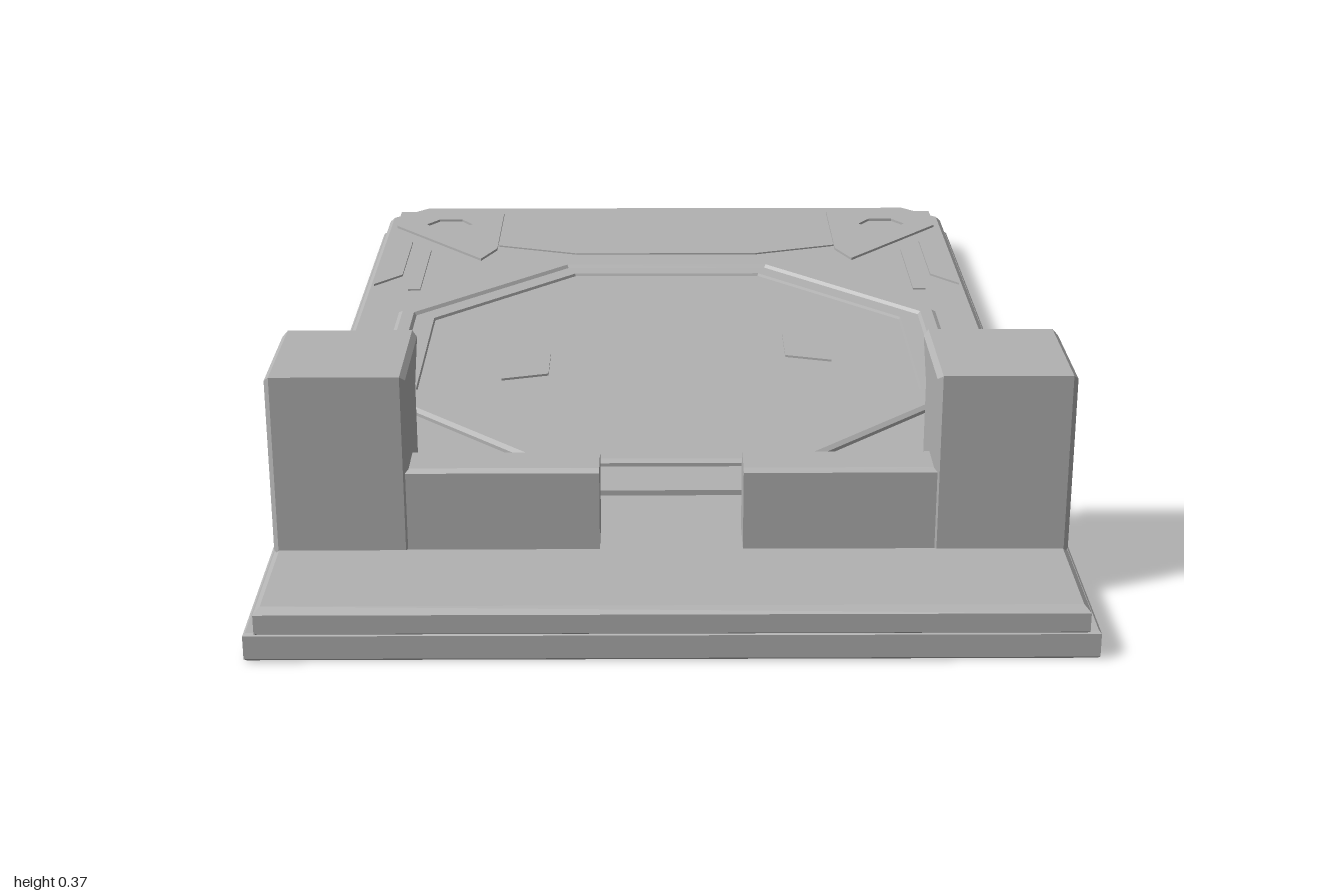
import * as THREE from 'three';

const grey = new THREE.MeshStandardMaterial({ color: 0xb2b2b2, flatShading: true });
grey.name = 'plain grey';

const DECK = 0.085; // height of the deck surface

const makeShape = (pts) => new THREE.Shape(pts.map(([a, b]) => new THREE.Vector2(a, b)));
const mirrorPts = (pts, side) => pts.map(([x, z]) => [x * side, z]);

function add(parent, name, geometry) {
  const mesh = new THREE.Mesh(geometry, grey);
  mesh.name = name;
  parent.add(mesh);
  return mesh;
}

function extrude(shape, depth, bevel) {
  const geo = new THREE.ExtrudeGeometry(shape, {
    depth: depth - 2 * bevel, bevelEnabled: bevel > 0, bevelSegments: 1,
    bevelSize: bevel, bevelThickness: bevel, bevelOffset: -bevel, steps: 1,
  });
  return geo.translate(0, 0, bevel);
}

// Flat plate from an (x, z) outline, between heights y0 and y1
function plate(parent, name, pts, y0, y1, bevel = 0, holes = []) {
  const shape = makeShape(pts);
  for (const h of holes) shape.holes.push(new THREE.Path(h.map(([a, b]) => new THREE.Vector2(a, b))));
  const geo = extrude(shape, y1 - y0, bevel).rotateX(Math.PI / 2).translate(0, y1, 0);
  return add(parent, name, geo);
}

// Block from a (z, y) side profile, running from x0 to x1
function sideBlock(parent, name, pts, x0, x1, bevel) {
  const geo = extrude(makeShape(pts), x1 - x0, bevel).rotateY(-Math.PI / 2).translate(x1, 0, 0);
  return add(parent, name, geo);
}

// Rectangular deck outline with chamfered back corners
const deckOutline = (w, back, cut) => [
  [-w, 1], [w, 1], [w, back + cut], [w - cut, back], [-w + cut, back], [-w, back + cut],
];

export function createModel() {
  const root = new THREE.Group();
  root.name = 'displayBase';

  // Two-step base
  plate(root, 'lowerBase', deckOutline(0.63, -1, 0.08), 0, 0.045, 0.004);
  plate(root, 'upperBase', deckOutline(0.613, -0.983, 0.075), 0.035, DECK, 0.01);

  // Raised octagonal rim on the deck
  const k = 1 / Math.cos(Math.PI / 8);
  const rim = [[0.528, 0.08], [0.528, 0.091], [0.52, 0.096], [0.497, 0.096], [0.492, 0.09],
    [0.456, 0.09], [0.452, 0.08]].map(([r, y]) => new THREE.Vector2(r * k, y));
  const ring = add(root, 'octagonRim', new THREE.LatheGeometry(rim, 8, Math.PI / 8));
  ring.position.z = -0.045;

  // Raised frame between the front walls
  plate(root, 'frontFrame', [
    [-0.28, 0.74], [-0.22, 0.57], [0.22, 0.57], [0.28, 0.74], [0.11, 0.74], [0.11, 0.71],
    [0.22, 0.71], [0.17, 0.6], [-0.17, 0.6], [-0.22, 0.71], [-0.11, 0.71], [-0.11, 0.74],
  ], 0.08, 0.094);

  // Stepped ridge across the back of the deck
  plate(root, 'backRidge', [
    [-0.37, -0.7], [-0.19, -0.64], [0.19, -0.64], [0.37, -0.7],
    [0.37, -0.712], [0.19, -0.652], [-0.19, -0.652], [-0.37, -0.712],
  ], 0.08, 0.088);

  // Small wedge panels inside the octagon
  for (const side of [-1, 1]) {
    const dz = side < 0 ? 0 : -0.093;
    const wedge = [[0.305, -0.085], [0.22, -0.05], [0.22, 0.065], [0.305, 0.09]];
    plate(root, 'wedgePanel', mirrorPts(wedge, side).map(([x, z]) => [x, z + dz]), 0.08, 0.089);
  }

  for (const side of [-1, 1]) {
    const half = new THREE.Group();
    half.name = side > 0 ? 'leftSide' : 'rightSide';
    root.add(half);
    const span = (a, b) => (side > 0 ? [a, b] : [-b, -a]);

    // Tall post with an overhanging head
    sideBlock(half, 'post', [
      [0.802, 0.075], [0.802, 0.37], [0.597, 0.37], [0.597, 0.357], [0.648, 0.3], [0.648, 0.075],
    ], ...span(0.4, 0.612), 0.008);

    // Low wall reaching towards the middle
    sideBlock(half, 'lowWall', [
      [0.8, 0.08], [0.8, 0.212], [0.793, 0.218], [0.732, 0.218], [0.72, 0.208], [0.72, 0.08],
    ], ...span(0.11, 0.405), 0);

    // Corner plate with a hexagonal recess
    const hex = [];
    for (let i = 0; i < 6; i++) {
      const a = (i * Math.PI) / 3;
      hex.push([0.475 + 0.05 * Math.cos(a), -0.84 + 0.04 * Math.sin(a)]);
    }
    plate(half, 'cornerPlate', mirrorPts([
      [0.59, -0.93], [0.36, -0.93], [0.36, -0.67], [0.39, -0.6], [0.59, -0.83],
    ], side), 0.08, 0.09, 0, [mirrorPts(hex, side)]);

    // Thin trim pieces along the edge
    plate(half, 'backTrim', mirrorPts([
      [0.597, -0.69], [0.545, -0.72], [0.545, -0.5], [0.597, -0.44],
    ], side), 0.08, 0.089);
    plate(half, 'backStrip', mirrorPts([
      [0.525, -0.66], [0.512, -0.69], [0.5, -0.66], [0.5, -0.41], [0.525, -0.41],
    ], side), 0.08, 0.089);
    plate(half, 'frontStrip', mirrorPts([
      [0.597, 0.15], [0.582, 0.17], [0.582, 0.5], [0.597, 0.5],
    ], side), 0.08, 0.089);
    plate(half, 'arrowTrim', mirrorPts([
      [0.555, 0.21], [0.535, 0.21], [0.535, 0.46], [0.517, 0.46],
      [0.542, 0.535], [0.567, 0.46], [0.555, 0.46],
    ], side), 0.08, 0.089);
  }

  return root;
}
